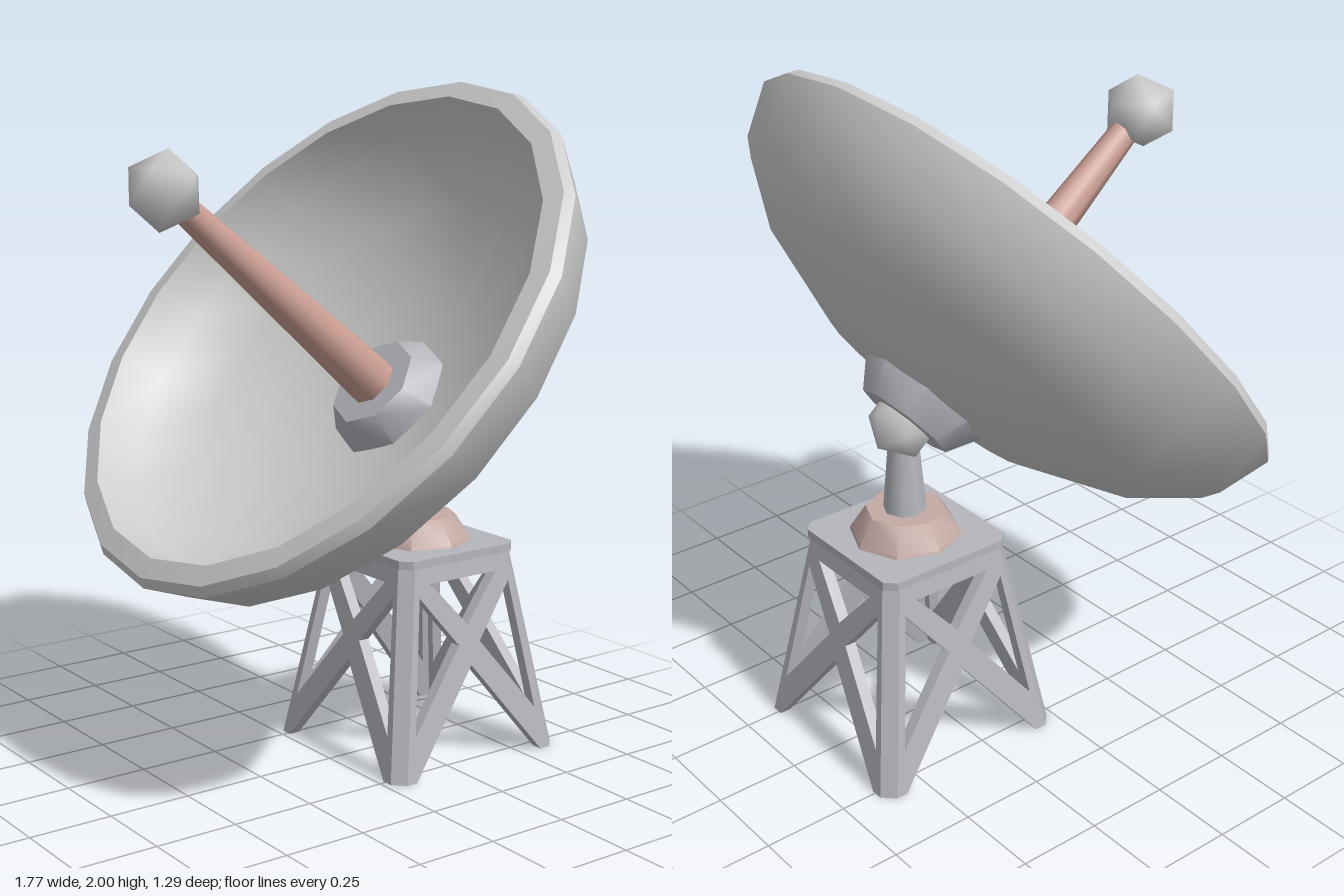
import * as THREE from 'three';
import { toCreasedNormals } from 'three/addons/utils/BufferGeometryUtils.js';
import { ConvexGeometry } from 'three/addons/geometries/ConvexGeometry.js';

const grey = new THREE.MeshStandardMaterial({ color: 0xcccccc });
const steel = new THREE.MeshStandardMaterial({ color: 0xb4b6bc });
const rust = new THREE.MeshStandardMaterial({ color: 0xcc9f94 });
const paleRust = new THREE.MeshStandardMaterial({ color: 0xc4aaa4 });

function part(parent, name, geometry, material) {
  const mesh = new THREE.Mesh(geometry, material);
  mesh.name = name;
  parent.add(mesh);
  return mesh;
}

// Turned part from [radius, height] pairs, sharp only at strong edges
function turned(profile, sides, crease) {
  const pts = profile.map(([r, y]) => new THREE.Vector2(r, y));
  return toCreasedNormals(new THREE.LatheGeometry(pts, sides), THREE.MathUtils.degToRad(crease));
}

// Low-poly ball with smooth shading
function ball(radius) {
  const geo = new THREE.IcosahedronGeometry(radius, 0);
  const pos = geo.attributes.position;
  const v = new THREE.Vector3();
  for (let i = 0; i < pos.count; i++) {
    v.fromBufferAttribute(pos, i).normalize();
    geo.attributes.normal.setXYZ(i, v.x, v.y, v.z);
  }
  return geo;
}

function outline(Type, pts) {
  return new Type(pts.map(([x, y]) => new THREE.Vector2(x, y)));
}

const FOOT = 0.31, TOP = 0.21, HEIGHT = 0.62, THICK = 0.035;

// One sloping cross-braced side of the tower
function braceSide() {
  const b = FOOT - THICK, t = TOP - THICK;
  const shape = outline(THREE.Shape, [[-b, 0], [-0.24, 0], [0, 0.3], [0.24, 0], [b, 0], [t, HEIGHT], [-t, HEIGHT]]);
  shape.holes.push(outline(THREE.Path, [[-0.125, 0.56], [0.125, 0.56], [0, 0.42]]));
  for (const s of [-1, 1]) {
    shape.holes.push(outline(THREE.Path, [[s * 0.23, 0.13], [s * 0.17, 0.525], [s * 0.04, 0.365]]));
  }
  const geo = new THREE.ExtrudeGeometry(shape, { depth: THICK, bevelEnabled: false });
  const slope = -(FOOT - TOP) / HEIGHT;
  // lean the panel inwards
  return geo.applyMatrix4(new THREE.Matrix4().set(
    1, 0, 0, 0,
    0, 1, 0, 0,
    0, slope, 1, FOOT - THICK,
    0, 0, 0, 1));
}

// Chamfered leg edge joining two sides
function legEdge() {
  const pts = [];
  for (const [h, y] of [[FOOT, 0], [TOP, HEIGHT]]) {
    const k = h - THICK;
    pts.push(new THREE.Vector3(h, y, k), new THREE.Vector3(k, y, h), new THREE.Vector3(k, y, k));
  }
  return new ConvexGeometry(pts);
}

// Square plate with cut corners
function plate(h, y0, y1) {
  const pts = [];
  for (const y of [y0, y1]) for (const a of [-1, 1]) for (const b of [-1, 1]) {
    pts.push(new THREE.Vector3(a * h, y, b * (h - 0.03)), new THREE.Vector3(a * (h - 0.03), y, b * h));
  }
  return new ConvexGeometry(pts);
}

export function createModel() {
  const model = new THREE.Group();
  model.name = 'dishAntenna';

  // Tower
  const tower = new THREE.Group();
  tower.name = 'tower';
  tower.position.z = -0.33;
  model.add(tower);
  const side = braceSide(), edge = legEdge();
  for (let i = 0; i < 4; i++) {
    part(tower, 'braceSide', side, steel).rotation.y = i * Math.PI / 2;
    part(tower, 'legEdge', edge, steel).rotation.y = i * Math.PI / 2;
  }
  part(tower, 'topPlate', plate(0.215, 0.61, 0.635), steel);

  // Pedestal and swivel joint
  part(tower, 'pedestalFoot', turned([[0, 0.63], [0.165, 0.63], [0.16, 0.645], [0.115, 0.715], [0, 0.715]], 8, 40), paleRust);
  part(tower, 'pedestalColumn', new THREE.CylinderGeometry(0.042, 0.064, 0.25, 8), steel).position.y = 0.83;
  part(tower, 'swivelBall', ball(0.105), grey).position.y = 0.99;

  // Dish assembly, tilted to 40 degrees elevation
  const dish = new THREE.Group();
  dish.name = 'dishAssembly';
  dish.position.set(0, 1.328, 0.077);
  dish.rotation.x = THREE.MathUtils.degToRad(50);
  model.add(dish);
  part(dish, 'bowl', turned([
    [0, -0.46], [0.345, -0.42], [0.65, -0.305], [0.828, -0.17], [0.886, -0.02], [0.868, 0.008],
    [0.808, 0.015], [0.76, -0.12], [0.61, -0.255], [0.345, -0.36], [0, -0.41],
  ], 20, 40), grey);
  part(dish, 'hub', turned([
    [0, -0.525], [0.145, -0.525], [0.205, -0.43], [0.205, -0.39], [0.145, -0.3], [0, -0.3],
  ], 8, 48), steel);

  // Feed mast and receiver
  part(dish, 'feedMast', new THREE.CylinderGeometry(0.04, 0.077, 0.88, 8), rust).position.y = 0.13;
  part(dish, 'receiver', ball(0.113), grey).position.y = 0.61;

  return model;
}
